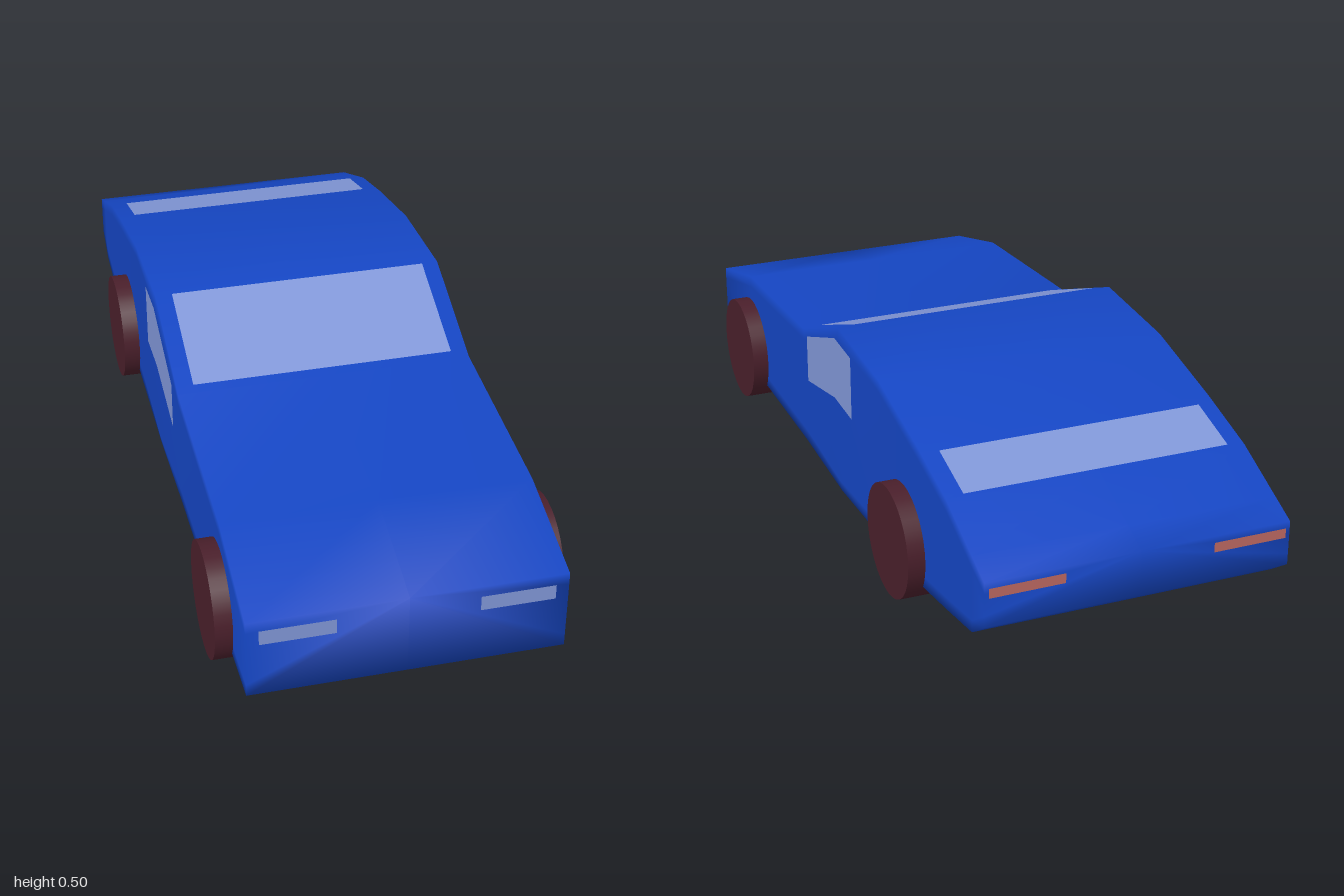
import * as THREE from 'three';

const paint = new THREE.MeshStandardMaterial({ color: 0x1546c4 });
const glass = new THREE.MeshStandardMaterial({ color: 0x8197d8, side: THREE.DoubleSide });
const red = new THREE.MeshStandardMaterial({ color: 0xc06a64, side: THREE.DoubleSide });
const rubber = new THREE.MeshStandardMaterial({ color: 0x4a1f2b });

// Body cross-sections, front to back: z, bottom, top, half width at the sides
const STATIONS = [
  [1, 0.075, 0.28, 0.37],
  [0.73, 0.066, 0.35, 0.37],
  [0.24, 0.06, 0.382, 0.37],
  [-0.05, 0.045, 0.495, 0.375],
  [-0.34, 0.058, 0.477, 0.37],
  [-0.6, 0.068, 0.42, 0.37],
  [-0.78, 0.095, 0.372, 0.37],
  [-0.93, 0.12, 0.309, 0.37],
  [-1, 0.17, 0.28, 0.37],
];

// Loft through the stations; shared vertices keep the shading smooth
function bodyGeometry() {
  const pos = [], idx = [], n = 8, e = 0.37;
  for (const [z, b, t, w] of STATIONS) {
    const lip = Math.min(0.03, (t - b) / 4);
    const ring = [[0, t], [-e, t], [-w, t - lip], [-w, b + lip], [-e, b], [0, b],
      [e, b], [w, b + lip], [w, t - lip], [e, t]];
    for (const [x, y] of ring) pos.push(x, y, z);
  }
  const m = 10, last = (STATIONS.length - 1) * m;
  for (let i = 0; i < STATIONS.length - 1; i++) {
    for (let j = 0; j < m; j++) {
      const a = i * m + j, b = i * m + (j + 1) % m;
      idx.push(a, a + m, b, b, a + m, b + m);
    }
  }
  // nose and tail faces
  for (let j = 1; j <= n; j++) {
    idx.push(0, j, j + 1);
    idx.push(last, last + j + 1, last + j);
  }
  return makeGeometry(pos, idx);
}

function makeGeometry(pos, idx) {
  const g = new THREE.BufferGeometry();
  g.setAttribute('position', new THREE.Float32BufferAttribute(pos, 3));
  g.setIndex(idx);
  g.computeVertexNormals();
  return g;
}

// Flat panel fanned from its first corner
function panel(points) {
  const idx = [];
  for (let i = 1; i < points.length - 1; i++) idx.push(0, i, i + 1);
  return makeGeometry(points.flat(), idx);
}

export function createModel() {
  const car = new THREE.Group();
  const add = (name, geometry, material) => {
    const mesh = new THREE.Mesh(geometry, material);
    mesh.name = name;
    car.add(mesh);
    return mesh;
  };

  add('body', bodyGeometry(), paint);

  // windscreen and rear window, just above the roof slopes
  const w = 0.328;
  add('windscreen', panel([[-w, 0.393, 0.221], [w, 0.393, 0.221],
    [w, 0.497, -0.046], [-w, 0.497, -0.046]]), glass);
  add('rearWindow', panel([[w, 0.377, -0.776], [-w, 0.377, -0.776],
    [-w, 0.416, -0.63], [w, 0.416, -0.63]]), glass);

  const sideOutline = [[-0.03, 0.3], [-0.16, 0.295], [-0.16, 0.46],
    [-0.04, 0.466], [0.19, 0.38], [0.19, 0.255]];

  for (const [side, s] of [['left', 1], ['right', -1]]) {
    // side window, wound to face outwards
    const outline = s > 0 ? sideOutline : [...sideOutline].reverse();
    const start = s > 0 ? outline : [outline[5], ...outline.slice(0, 5)];
    add(side + 'Window', panel(start.map(([z, y]) => [s * 0.377, y, z])), glass);

    // lamps
    const head = add(side + 'Headlight', new THREE.PlaneGeometry(0.175, 0.038), glass);
    head.position.set(s * 0.2525, 0.234, 1.001);
    const tail = add(side + 'TailLight', new THREE.PlaneGeometry(0.18, 0.024), red);
    tail.rotation.y = Math.PI;
    tail.position.set(s * 0.27, 0.252, -1.001);

    // wheels
    for (const [end, z] of [['Front', 0.728], ['Rear', -0.507]]) {
      const wheel = add(side + end + 'Wheel', new THREE.CylinderGeometry(0.14, 0.14, 0.122, 32), rubber);
      wheel.rotation.z = Math.PI / 2;
      wheel.position.set(s * 0.351, 0.14, z);
    }
  }
  return car;
}
